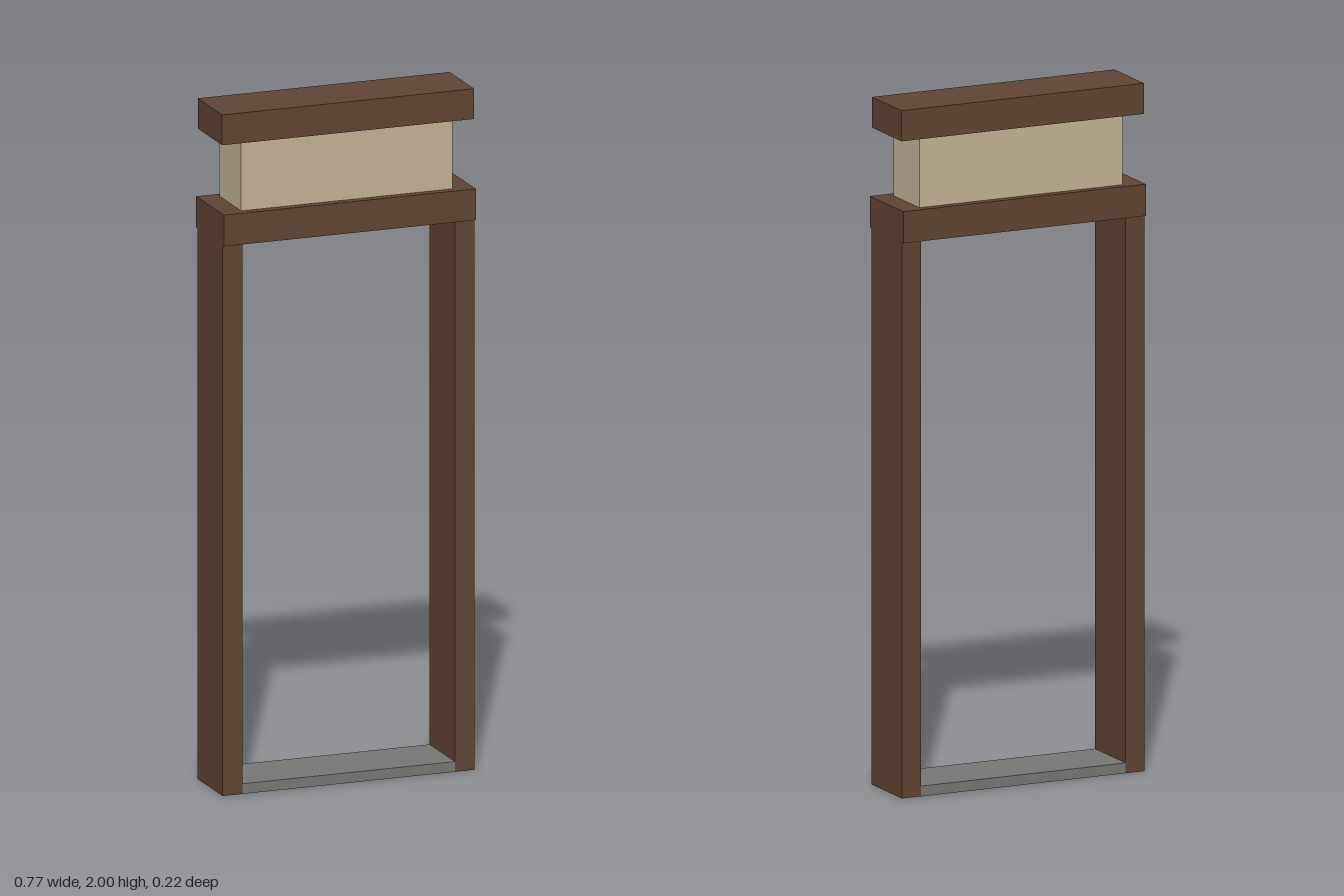
import * as THREE from 'three';

export function createModel() {
  const model = new THREE.Group();
  model.name = 'doorFrame';

  const material = (name, color) => {
    const m = new THREE.MeshStandardMaterial({ color });
    m.name = name;
    return m;
  };
  const wood = material('darkWood', 0x5f4533);
  const plaster = material('sandPlaster', 0xc2b393);
  const stone = material('greyStone', 0x777775);

  // Box spanning x0..x1 and y0..y1, centred on z = 0
  const block = (name, mat, x0, x1, y0, y1, depth) => {
    const mesh = new THREE.Mesh(new THREE.BoxGeometry(x1 - x0, y1 - y0, depth), mat);
    mesh.position.set((x0 + x1) / 2, (y0 + y1) / 2, 0);
    mesh.name = name;
    model.add(mesh);
  };

  const outer = 0.383, inner = 0.323;

  // Side posts
  block('leftPost', wood, inner, outer, 0, 1.617, 0.196);
  block('rightPost', wood, -outer, -inner, 0, 1.617, 0.196);

  // Threshold between the posts
  block('threshold', stone, -inner, inner, 0, 0.03, 0.196);

  // Lintel, transom panel and top cap
  block('lintel', wood, -outer, outer, 1.617, 1.709, 0.215);
  block('transomPanel', plaster, -0.321, 0.321, 1.709, 1.911, 0.166);
  block('topCap', wood, -outer, outer, 1.911, 2, 0.19);

  return model;
}
